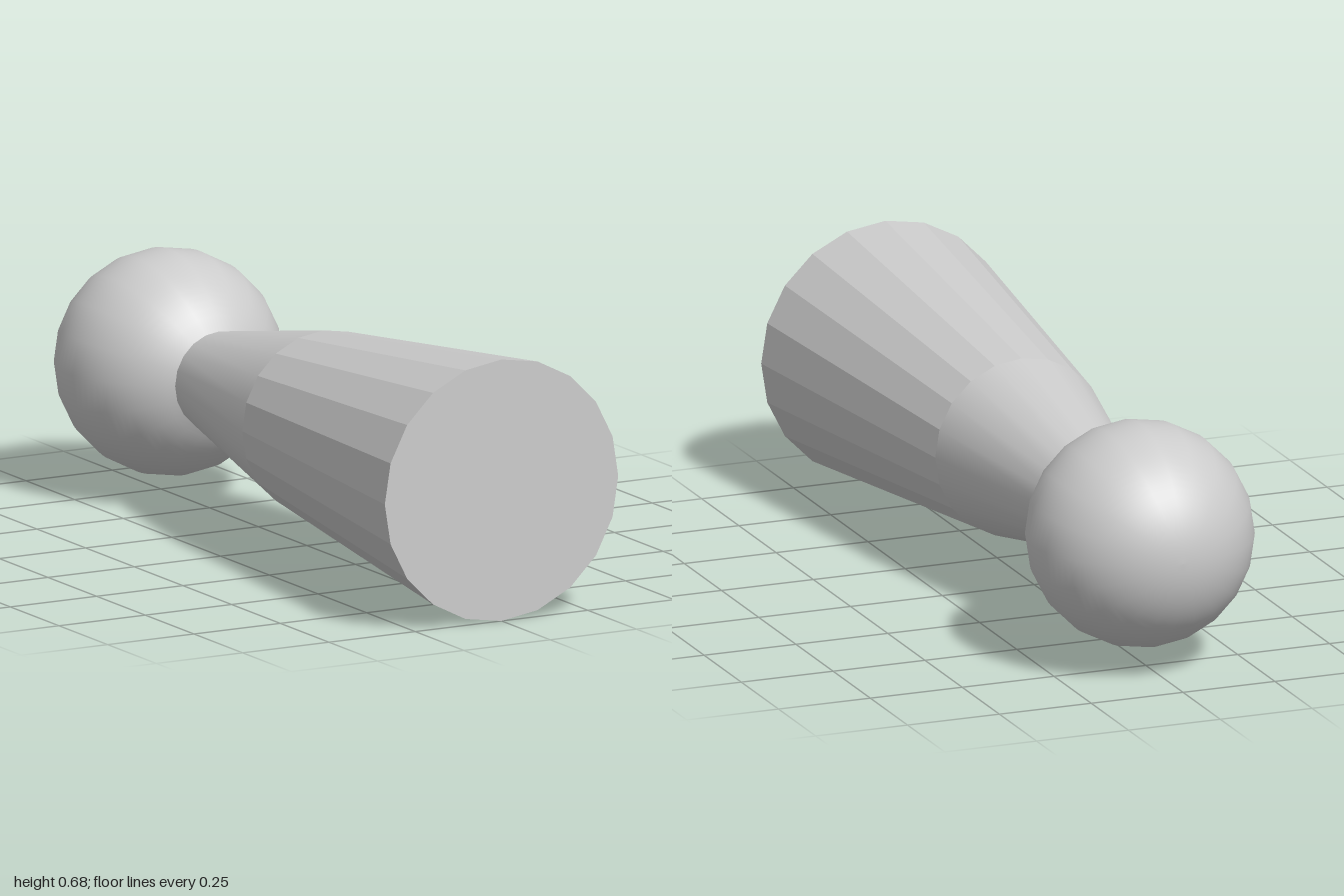
import * as THREE from 'three';

const SIDES = 20;

export function createModel() {
  const model = new THREE.Group();
  const smooth = new THREE.MeshStandardMaterial({ color: 0xcccccc });
  const faceted = new THREE.MeshStandardMaterial({ color: 0xcccccc, flatShading: true });

  // Parts are turned around y, then laid down so that their top points to the back
  const add = (name, geometry, material, z) => {
    geometry.rotateX(-Math.PI / 2);
    const mesh = new THREE.Mesh(geometry, material);
    mesh.name = name;
    mesh.position.set(0, 0.338, z);
    model.add(mesh);
  };

  // Faceted tapered body with a flat front end; its back is open under the neck
  const bodyEnd = 0.085, bodyRadius = 0.235;
  const bodyLength = 1 - bodyEnd;
  const body = new THREE.LatheGeometry([
    new THREE.Vector2(0, 0),
    new THREE.Vector2(0.338, 0),
    new THREE.Vector2(bodyRadius, bodyLength),
  ], SIDES);
  add('body', body, faceted, 1);

  // Smooth neck narrowing to the ball
  const ballRadius = 0.29, ballZ = -0.71, neckEnd = -0.45, neckRadius = 0.128;
  const neckLength = bodyEnd - neckEnd;
  const neck = new THREE.CylinderGeometry(neckRadius, bodyRadius, neckLength, SIDES, 1, true);
  add('neck', neck, smooth, (bodyEnd + neckEnd) / 2);

  // Ball, starting where it meets the neck
  const start = -Math.acos(neckRadius / ballRadius);
  const profile = [];
  for (let i = 0; i <= 36; i++) {
    const a = start + (Math.PI / 2 - start) * i / 36;
    profile.push(new THREE.Vector2(Math.max(0, ballRadius * Math.cos(a)), ballRadius * Math.sin(a)));
  }
  add('ball', new THREE.LatheGeometry(profile, SIDES), smooth, ballZ);

  return model;
}
